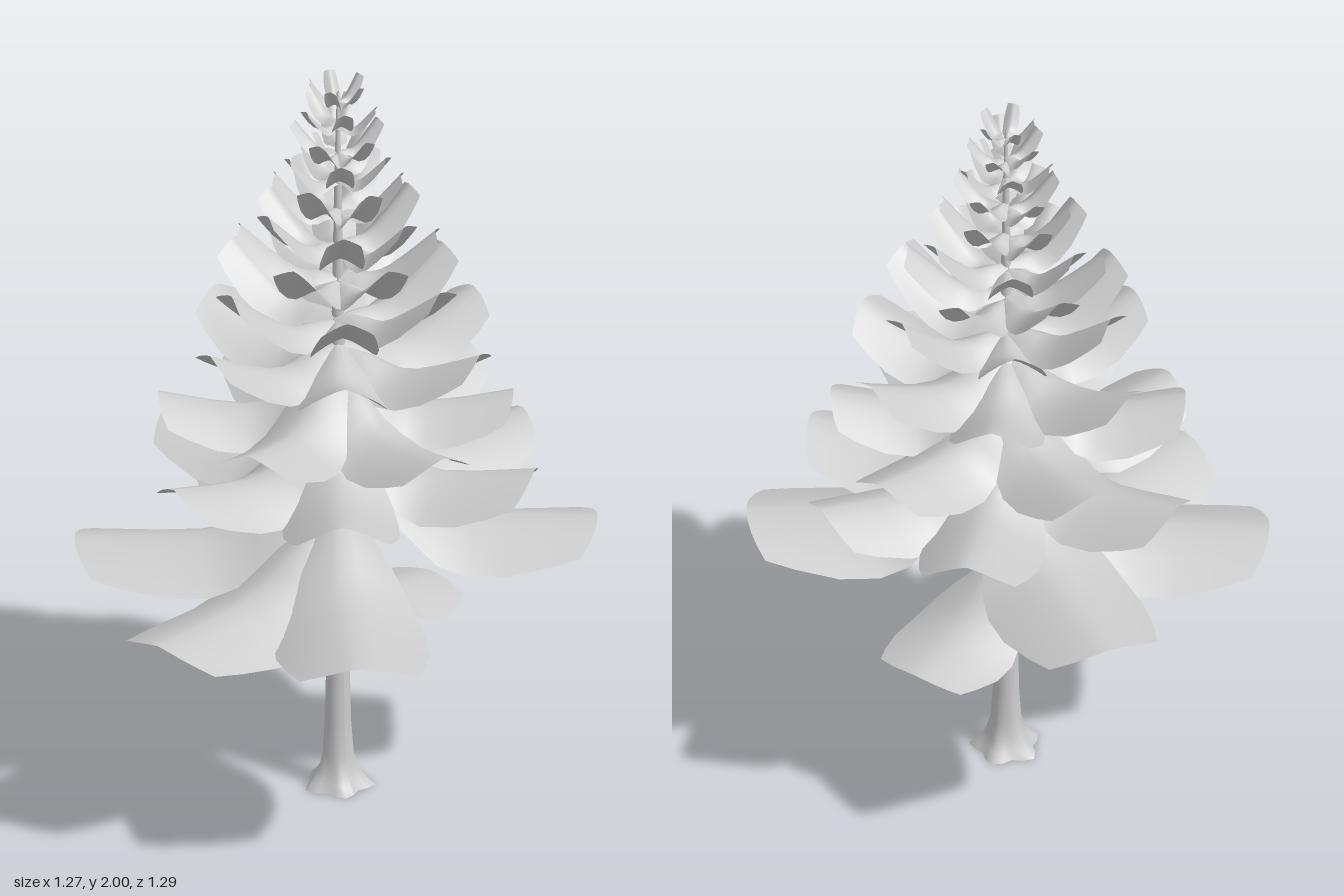
import * as THREE from 'three';

const CX = 0.02, CZ = 0.02; // trunk axis

const barkMaterial = new THREE.MeshStandardMaterial({ color: 0xcccccc, side: THREE.DoubleSide });
const leafMaterial = new THREE.MeshStandardMaterial({ color: 0xcccccc, side: THREE.DoubleSide });

// Half width of a bough along its length, relative to the widest point
const WIDTHS = [0.25, 0.54, 0.88, 1, 0.93, 0.75];
function widthAt(t) {
  const f = THREE.MathUtils.clamp(t, 0, 1) * (WIDTHS.length - 1);
  const i = Math.min(Math.floor(f), WIDTHS.length - 2);
  return THREE.MathUtils.lerp(WIDTHS[i], WIDTHS[i + 1], f - i);
}

// One arched bough: a thin sheet swept outward, its sides folded down square to the ridge
function makeBough({ angle, length, root, dip, tip, width = 0.61 * length, tipFold = 0.54, bulge = 0.07 }) {
  const geometry = new THREE.PlaneGeometry(1, 1, 8, 10);
  const p = geometry.attributes.position;
  const ridge = new THREE.SplineCurve([
    new THREE.Vector2(0, root),
    new THREE.Vector2(length * 0.2, THREE.MathUtils.lerp(root, dip, 0.35)),
    new THREE.Vector2(length * 0.48, dip),
    new THREE.Vector2(length, tip)
  ]);
  for (let i = 0; i < p.count; i++) {
    const s = p.getX(i) * 2;
    const t = 0.5 - p.getY(i);
    const c = ridge.getPoint(t);
    const d = ridge.getTangent(t);
    const u = c.x / length;
    const half = 0.5 * width * widthAt(u);
    const fold = half * THREE.MathUtils.lerp(0.62, tipFold, u) * Math.pow(Math.abs(s), 1.4);
    const x = c.x + fold * Math.max(d.y, 0) - s * s * length * bulge * u;
    p.setXYZ(i, x, c.y - fold * d.x, -s * half);
  }
  geometry.computeVertexNormals();
  const mesh = new THREE.Mesh(geometry, leafMaterial);
  mesh.name = 'bough';
  mesh.rotation.y = -THREE.MathUtils.degToRad(angle);
  mesh.position.set(CX, 0, CZ);
  return mesh;
}

// Trunk with a lobed flare at the foot
function makeTrunk() {
  const profile = [
    [0.082, 0], [0.066, 0.02], [0.05, 0.045], [0.04, 0.09], [0.034, 0.18], [0.03, 0.35],
    [0.027, 0.62], [0.022, 1], [0.015, 1.4], [0.009, 1.75], [0.003, 1.97]
  ].map(([r, y]) => new THREE.Vector2(r, y));
  const geometry = new THREE.LatheGeometry(profile, 20);
  const p = geometry.attributes.position;
  for (let i = 0; i < p.count; i++) {
    const a = Math.atan2(p.getZ(i), p.getX(i));
    const flare = Math.max(0, 1 - p.getY(i) / 0.1);
    const k = 1 - 0.16 * flare * Math.cos(5 * a);
    p.setXYZ(i, p.getX(i) * k, p.getY(i), p.getZ(i) * k);
  }
  geometry.computeVertexNormals();
  const trunk = new THREE.Mesh(geometry, barkMaterial);
  trunk.name = 'trunk';
  trunk.position.set(CX, 0, CZ);
  return trunk;
}

export function createModel() {
  const tree = new THREE.Group();
  tree.name = 'coniferTree';
  tree.add(makeTrunk());

  // Lone low bough
  const low = makeBough({ angle: -22, length: 0.39, root: 0.61, dip: 0.5, tip: 0.455, width: 0.34, tipFold: 0.18 });
  low.name = 'lowBough';
  tree.add(low);

  // Lower tiers: [angle, length, height offset] for each bough
  const lowerTiers = [
    { root: 0.9, dip: 0.765, tip: 0.75, tipFold: 0.34, boughs: [
      [-83, 0.665, 0.01], [-149, 0.675, -0.05], [163.5, 0.675, -0.12], [115.5, 0.67, -0.1], [30, 0.665, 0.01]] },
    { root: 1.03, dip: 0.92, tip: 0.955, tipFold: 0.54, boughs: [
      [2, 0.54, -0.01], [45, 0.52, 0], [119, 0.51, 0.02], [176, 0.51, 0.02], [-118, 0.51, 0], [-48, 0.53, 0]] },
    { root: 1.18, dip: 1.07, tip: 1.105, tipFold: 0.54, boughs: [
      [-17, 0.48, -0.01], [32, 0.45, 0.02], [85, 0.46, 0], [150, 0.46, 0.02], [-150, 0.46, 0.01], [-88, 0.46, -0.01]] },
    { root: 1.25, dip: 1.215, tip: 1.3, tipFold: 0.54, boughs: [
      [-2, 0.41, 0.01], [55, 0.4, 0], [118, 0.39, 0.01], [180, 0.38, 0.01], [-112, 0.4, 0], [-54, 0.41, 0]] }
  ];
  lowerTiers.forEach(({ root, dip, tip, tipFold, boughs }, i) => {
    const tier = new THREE.Group();
    tier.name = `boughTier${i + 1}`;
    for (const [angle, length, dy] of boughs) {
      tier.add(makeBough({ angle, length, root: root + dy, dip: dip + dy, tip: tip + dy, tipFold }));
    }
    tree.add(tier);
  });

  // Upper tiers: [length, root height, dip height, tip height], rising more steeply
  const upperTiers = [
    [0.31, 1.33, 1.345, 1.465], [0.25, 1.44, 1.46, 1.57], [0.205, 1.53, 1.545, 1.65],
    [0.16, 1.63, 1.645, 1.74], [0.13, 1.725, 1.735, 1.805], [0.115, 1.805, 1.81, 1.875],
    [0.095, 1.875, 1.88, 1.935], [0.07, 1.94, 1.95, 2.0]
  ];
  upperTiers.forEach(([length, root, dip, tip], i) => {
    const tier = new THREE.Group();
    tier.name = `boughTier${lowerTiers.length + i + 1}`;
    const count = i < 4 ? 6 : 5;
    for (let k = 0; k < count; k++) {
      const angle = (k / count) * 360 + 30 * i + 4 * Math.sin(k * 2.3 + i);
      const dy = i === upperTiers.length - 1 ? 0 : 0.012 * Math.sin(k * 1.9 + i * 2.1);
      tier.add(makeBough({
        angle, length, root: root + dy, dip: dip + dy, tip: tip + dy, width: 0.58 * length, bulge: 0.04
      }));
    }
    tree.add(tier);
  });

  return tree;
}
